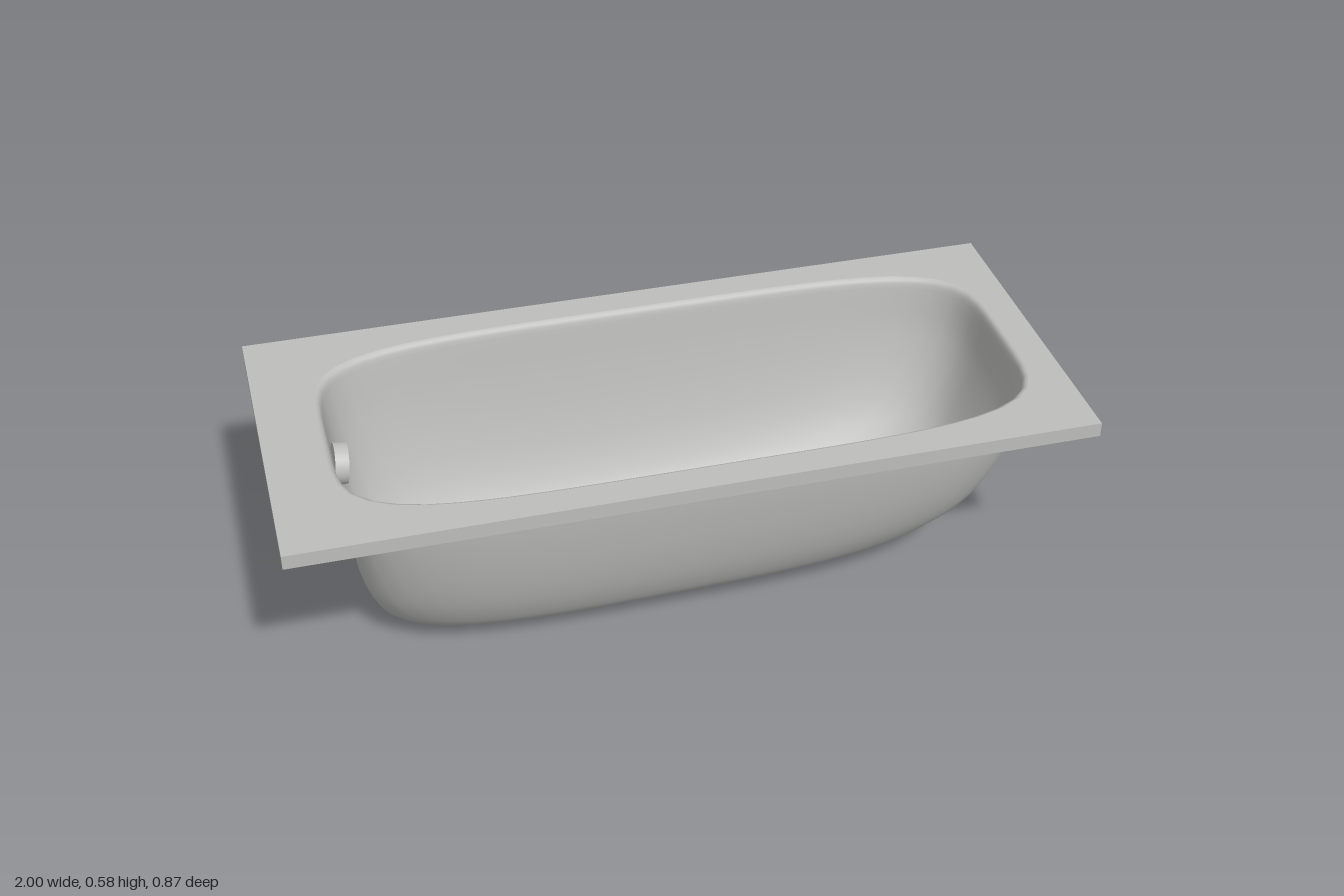
import * as THREE from 'three';

const SEG = 112;

// Point of a soft rectangle (superellipse) with separate left and right ends
function softRect(i, left, right, half, n) {
  const a = (i / SEG) * Math.PI * 2, c = Math.cos(a), s = Math.sin(a);
  const mid = (left + right) / 2, hx = (right - left) / 2;
  const r = Math.pow(Math.abs(c / hx) ** n + Math.abs(s / half) ** n, -1 / n);
  return [mid + c * r, s * r];
}

// Levels from the top down: [height, left end, right end, half width, squareness]
const LEVELS = [
  [0.546, -0.848, 0.913, 0.354, 4.7],
  [0.42, -0.832, 0.899, 0.338, 4.6],
  [0.30, -0.816, 0.868, 0.315, 4.3],
  [0.20, -0.800, 0.825, 0.286, 3.9],
  [0.125, -0.776, 0.765, 0.252, 3.5],
  [0.08, -0.742, 0.708, 0.219, 3.3],
  [0.053, -0.696, 0.652, 0.184, 3.2],
  [0.039, -0.645, 0.60, 0.15, 3.2],
  [0.035, -0.59, 0.54, 0.12, 3.2],
];

// Smooth the levels into many rings
function smoothLevels(levels, count) {
  const ends = new THREE.CatmullRomCurve3(levels.map(l => new THREE.Vector3(l[1], l[2], l[3])), false, 'catmullrom');
  const rest = new THREE.CatmullRomCurve3(levels.map(l => new THREE.Vector3(l[0], l[4], 0)), false, 'catmullrom');
  const rings = [];
  for (let k = 0; k <= count; k++) {
    const e = ends.getPoint(k / count), r = rest.getPoint(k / count);
    rings.push([r.x, e.x, e.y, e.z, r.y]);
  }
  return rings;
}

// Loft rings into a bowl closed by a flat, gently sloping floor
function bowl(rings, inside) {
  const pos = [], index = [];
  for (const [h, left, right, half, n] of rings) {
    const slope = 0.025 * Math.min(1, Math.max(0, (0.5 - h) / 0.4));
    for (let i = 0; i < SEG; i++) {
      const [x, z] = softRect(i, left, right, half, n);
      pos.push(x, h + slope * x, z);
    }
  }
  const last = rings[rings.length - 1], cx = (last[1] + last[2]) / 2;
  pos.push(cx, last[0] + 0.025 * cx, 0);
  const tri = (a, b, c) => inside ? index.push(a, c, b) : index.push(a, b, c);
  for (let k = 0; k < rings.length - 1; k++) {
    for (let i = 0; i < SEG; i++) {
      const j = (i + 1) % SEG, a = k * SEG + i, b = k * SEG + j;
      tri(a, b, a + SEG);
      tri(b, b + SEG, a + SEG);
    }
  }
  const base = (rings.length - 1) * SEG, centre = rings.length * SEG;
  for (let i = 0; i < SEG; i++) tri(base + i, base + (i + 1) % SEG, centre);
  const g = new THREE.BufferGeometry();
  g.setAttribute('position', new THREE.Float32BufferAttribute(pos, 3));
  g.setIndex(index);
  g.computeVertexNormals();
  return g;
}

export function createModel() {
  const tub = new THREE.Group();
  tub.name = 'bathtub';
  const enamel = new THREE.MeshStandardMaterial({ color: 0xbdbdbb });
  enamel.name = 'grey enamel';
  const add = (name, geometry) => {
    const mesh = new THREE.Mesh(geometry, enamel);
    mesh.name = name;
    tub.add(mesh);
    return mesh;
  };

  // Flat rectangular rim with the basin opening cut out
  const shape = new THREE.Shape([[-1, -0.436], [1, -0.436], [1, 0.436], [-1, 0.436]].map(p => new THREE.Vector2(...p)));
  const hole = [];
  for (let i = 0; i < SEG; i++) hole.push(new THREE.Vector2(...softRect(i, -0.853, 0.917, 0.36, 4.7)));
  shape.holes.push(new THREE.Path(hole));
  const rim = new THREE.ExtrudeGeometry(shape, { depth: 0.038, bevelEnabled: false });
  rim.rotateX(-Math.PI / 2).translate(0, 0.545, 0);
  add('rim', rim);

  // Outer shell, flaring out to meet the underside of the rim
  const outer = smoothLevels(LEVELS, 40);
  add('outerShell', bowl([[0.548, -0.856, 0.92, 0.363, 4.7], ...outer], false));

  // Inner basin with a rounded lip
  const t = 0.01;
  const inner = outer.map(([h, l, r, w, n]) => [h + t, l + t, r - t, w - t, n]);
  const lip = [
    [0.583, -0.853, 0.917, 0.36, 4.7],
    [0.5815, -0.849, 0.912, 0.355, 4.7],
    [0.577, -0.844, 0.908, 0.35, 4.7],
    [0.569, -0.840, 0.905, 0.346, 4.7],
  ];
  add('basin', bowl([...lip, ...inner], true));

  // Overflow disc on the steep end wall
  const disc = new THREE.CylinderGeometry(0.052, 0.052, 0.034, 32);
  disc.rotateZ(-Math.PI / 2 - 0.12);
  add('overflowCover', disc).position.set(-0.816, 0.492, 0);

  // Shallow drain dish in the floor
  const floorY = 0.035 + t - 0.025 * 0.55;
  const profile = pts => pts.map(p => new THREE.Vector2(...p));
  const dish = new THREE.LatheGeometry(profile([[0, 0.001], [0.045, 0.001], [0.047, 0.004], [0.058, 0.004], [0.061, -0.002]].reverse()), 32);
  add('drainDish', dish).position.set(-0.55, floorY, 0);

  // Tapered drain outlet below the floor, open underneath
  const outlet = new THREE.LatheGeometry(profile([[0, 0.014], [0.034, 0.014], [0.034, 0], [0.04, 0], [0.062, 0.017], [0.062, 0.026]]), 32);
  add('drainOutlet', outlet.toNonIndexed()).position.set(-0.55, 0, 0);

  return tub;
}
